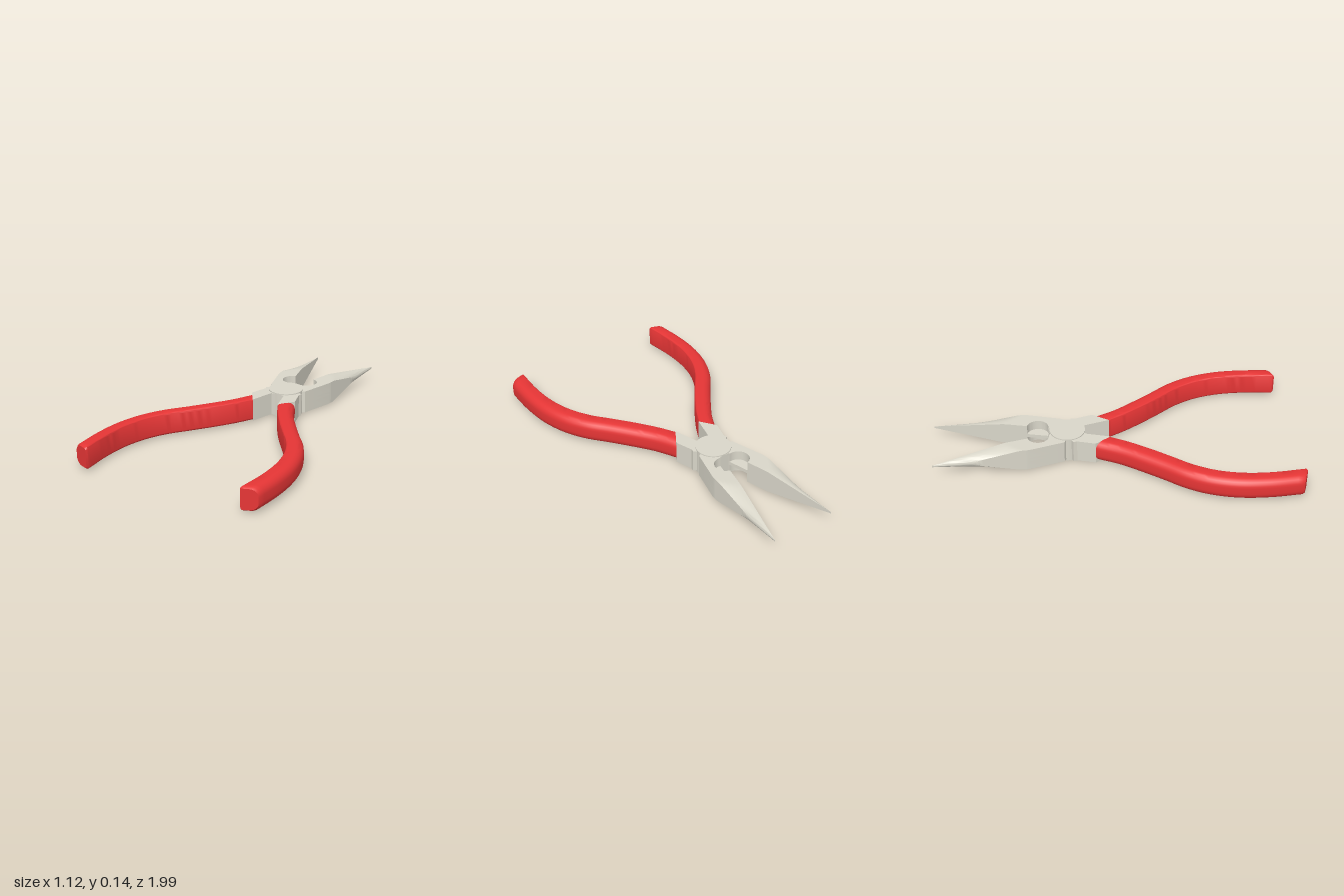
import * as THREE from 'three';
import { toCreasedNormals } from 'three/addons/utils/BufferGeometryUtils.js';

const MID = 0.07; // height of the joint's middle plane
const metal = new THREE.MeshStandardMaterial({ color: 0xd9d6c9 });
const red = new THREE.MeshStandardMaterial({ color: 0xe53535 });

// Closed skin through rings of points [x, y, z], with flat caps; side = -1 mirrors it in x
function loft(rings, side, crease) {
  if (side < 0) rings = rings.map(r => r.map(([x, y, z]) => [-x, y, z]).reverse());
  const n = rings[0].length, index = [];
  for (let k = 0; k < rings.length - 1; k++) {
    for (let i = 0; i < n; i++) {
      const a = k * n + i, b = k * n + (i + 1) % n;
      index.push(a, b, b + n, a, b + n, a + n);
    }
  }
  const last = (rings.length - 1) * n;
  for (let i = 1; i < n - 1; i++) {
    index.push(0, i + 1, i, last, last + i, last + i + 1);
  }
  const geo = new THREE.BufferGeometry();
  geo.setAttribute('position', new THREE.Float32BufferAttribute(rings.flat(2), 3));
  geo.setIndex(index);
  return toCreasedNormals(geo, crease);
}

// Grip: D-shaped section swept between an inner and an outer edge curve
function gripGeometry(side) {
  const curve = pts => new THREE.CatmullRomCurve3(pts.map(([x, z]) => new THREE.Vector3(x, 0, z)));
  const inner = curve([[.08, -.02], [.13, .07], [.2, .175], [.29, .295], [.37, .4], [.43, .52], [.462, .65], [.47, .8], [.455, .985]]);
  const outer = curve([[.14, -.11], [.2, .01], [.275, .12], [.36, .235], [.445, .345], [.51, .47], [.55, .62], [.56, .78], [.55, .95]]);
  const section = [];
  const corner = (cx, cy, r, start) => {
    for (let i = 0; i <= 6; i++) {
      const a = start + i / 6 * Math.PI / 2;
      section.push([(cx + r * Math.cos(a)) / .09, cy + r * Math.sin(a)]);
    }
  };
  corner(.045, -.018, .045, -Math.PI / 2);
  corner(.045, .018, .045, 0);
  corner(.012, .051, .012, Math.PI / 2);
  corner(.012, -.051, .012, Math.PI);
  const ring = (t, s, dz) => {
    const p = inner.getPoint(t), q = outer.getPoint(t);
    return section.map(([u, y]) => {
      const v = .5 + (u - .5) * s;
      return [p.x + (q.x - p.x) * v, .073 + y * s, p.z + (q.z - p.z) * v + dz];
    });
  };
  const rings = [];
  for (let i = 0; i <= 48; i++) rings.push(ring(i / 48, 1, 0));
  rings.push(ring(1, .88, .012)); // softened end
  return loft(rings, side, .7);
}

// Nose: flat on the inside, conical on the outside, tapering to a point
function noseGeometry(side) {
  const rings = [];
  for (let j = 0; j <= 24; j++) {
    const z = -1 + .51 * j / 24, d = -.49 - z;
    const xi = .062 + d * .243, xo = .17 + d * .0314;
    const k = .5 + .5 * Math.min(1, d / .3), R = .005 + (z + 1) * .15;
    const bottom = [], top = [];
    for (let i = 0; i <= 14; i++) {
      const u = Math.sin(i / 14 * Math.PI / 2);
      const h = Math.min(.064, R * Math.sqrt(Math.max(0, 1 - (u * k) ** 2)));
      const x = xi + (xo - xi) * u;
      bottom.push([x, MID - h, z]);
      top.unshift([x, MID + h, z]);
    }
    rings.push([...bottom, ...top]);
  }
  return loft(rings, side, .5);
}

// One slab of the crossed body; the outer slabs have round bites beside the cutter
function bodyLayer(y0, y1, bite) {
  const half = [[.04, -.16], [.08, -.02], [.14, -.11], [.11, -.21], [.115, -.23], [.095, -.24],
    [.095, -.27], [.113, -.28], [.12, -.305], [.167, -.47], [.17, -.49], [.062, -.49]];
  if (bite) {
    for (let i = 0; i <= 20; i++) {
      const a = Math.PI / 2 - Math.PI * i / 20, c = .06 * Math.cos(a), s = .06 * Math.sin(a);
      half.push([.045 + c * .971 + s * .239, -.42 + c * .239 - s * .971]);
    }
  }
  half.push([.03, -.355]);
  const all = [...half, ...half.map(([x, z]) => [-x, z]).reverse()];
  const shape = new THREE.Shape(all.map(([x, z]) => new THREE.Vector2(x, -z)));
  const geo = new THREE.ExtrudeGeometry(shape, { depth: y1 - y0, bevelEnabled: false });
  geo.rotateX(-Math.PI / 2).translate(0, y0, 0);
  return toCreasedNormals(geo, .4);
}

export function createModel() {
  const group = new THREE.Group();
  const add = (name, geo, mat) => {
    const mesh = new THREE.Mesh(geo, mat);
    mesh.name = name;
    group.add(mesh);
  };

  // Crossed metal body in three slabs, the middle one forming the cutter
  add('lowerBody', bodyLayer(MID - .064, MID - .01, true), metal);
  add('cutter', bodyLayer(MID - .01, MID + .01, false), metal);
  add('upperBody', bodyLayer(MID + .01, MID + .064, true), metal);

  // Pivot disc, slightly proud of both faces
  add('pivotDisc', new THREE.CylinderGeometry(.098, .098, .14, 48).translate(0, MID, -.257), metal);

  // Mirrored jaws and grips
  for (const [side, label] of [[1, 'left'], [-1, 'right']]) {
    add(label + 'JawNose', noseGeometry(side), metal);
    add(label + 'HandleGrip', gripGeometry(side), red);
  }
  return group;
}
